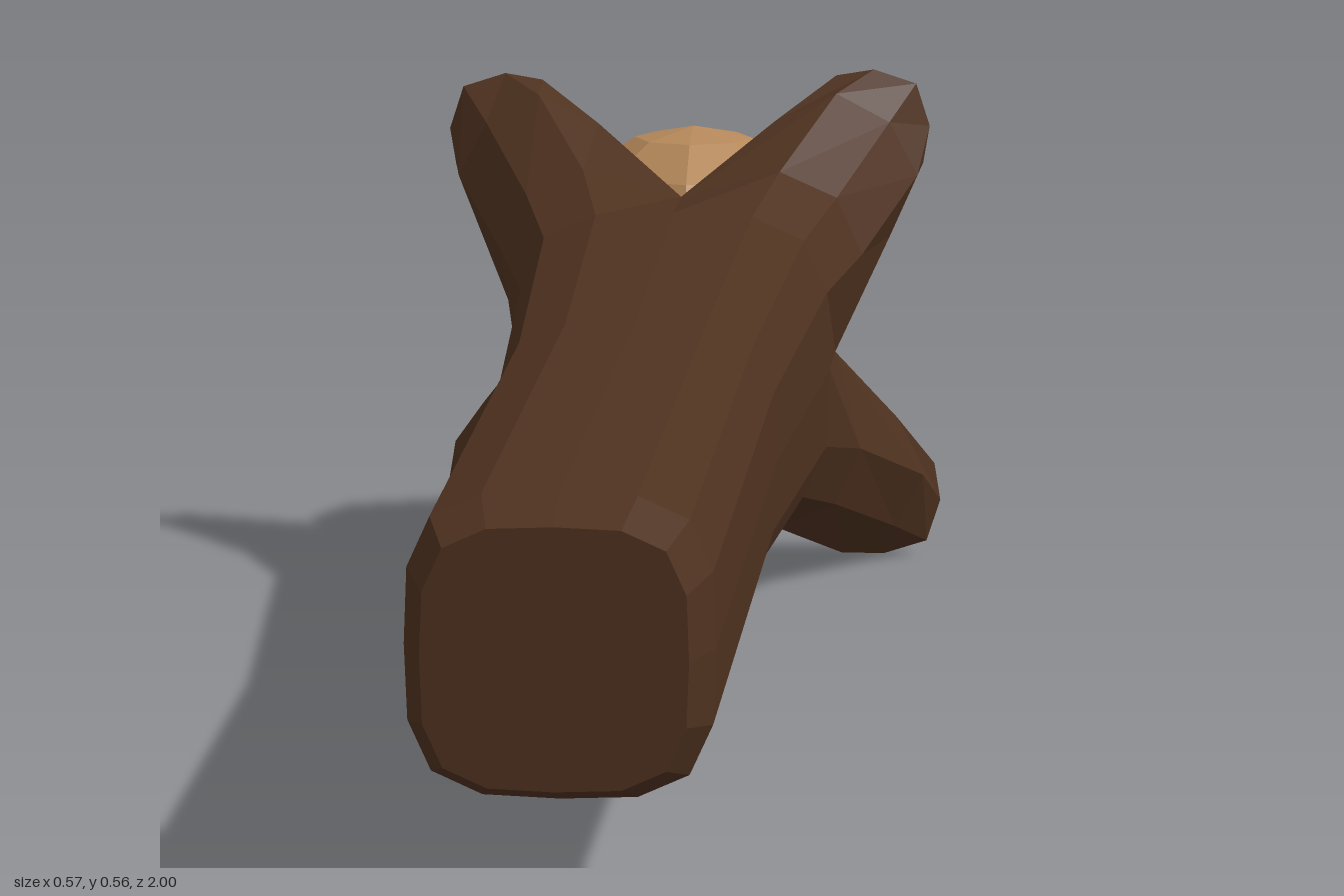
import * as THREE from 'three';

const CY = 0.27; // height of the stem axis
const S = Math.SQRT1_2;

// Point in quadrant k from diagonal distance d, sideways offset t and depth z
function place(k, d, t, z) {
  const x = (d - t) * S, y = (d + t) * S;
  const c = [1, 0, -1, 0][k], s = [0, 1, 0, -1][k];
  return [x * c - y * s, CY + x * s + y * c, z];
}

// Skin over closed loops that run counter-clockwise, stacked towards -z
function loft(loops, capStart, capEnd) {
  const n = loops[0].length, pos = loops.flat(2), index = [];
  for (let i = 0; i < loops.length - 1; i++) {
    for (let j = 0; j < n; j++) {
      const a = i * n + j, b = i * n + (j + 1) % n;
      index.push(a, a + n, b, b, a + n, b + n);
    }
  }
  const cap = (loop, start, flip) => {
    const c = pos.length / 3;
    for (let m = 0; m < 3; m++) pos.push(loop.reduce((sum, p) => sum + p[m], 0) / n);
    for (let j = 0; j < n; j++) {
      const a = start + j, b = start + (j + 1) % n;
      index.push(c, flip ? b : a, flip ? a : b);
    }
  };
  if (capStart) cap(loops[0], 0, false);
  if (capEnd) cap(loops[loops.length - 1], (loops.length - 1) * n, true);
  const g = new THREE.BufferGeometry();
  g.setAttribute('position', new THREE.Float32BufferAttribute(pos, 3));
  g.setIndex(index);
  const flat = g.toNonIndexed();
  flat.computeVertexNormals();
  return flat;
}

// Rounded square section: edge middle, shoulder and corner ridge of one quadrant
const square = (z, h) => ({ z, edge: [h * S, h * S], mid: [1.046 * h, 0.34 * h], ridge: 1.174 * h });
const collar = { z: -0.62, edge: [0.122, 0.122], mid: [0.22, 0.065], ridge: 0.245 };

export function createModel() {
  const group = new THREE.Group();
  const brown = new THREE.MeshStandardMaterial({ color: 0x4f3220, flatShading: true });
  const tan = new THREE.MeshStandardMaterial({ color: 0xb5885a, flatShading: true });
  const add = (geometry, material, name) => {
    const mesh = new THREE.Mesh(geometry, material);
    mesh.name = name;
    group.add(mesh);
    return mesh;
  };

  // Stem with a bevelled foot, widening to the collar
  const rows = [square(1, 0.118), square(0.94, 0.138), square(0.05, 0.143), square(-0.5, 0.172), collar];
  const stemLoops = rows.map(({ z, edge, mid, ridge }) => [0, 1, 2, 3].flatMap((k) => [
    place(k, edge[0], -edge[1], z),
    place(k, mid[0], -mid[1], z),
    place(k, ridge, 0, z),
    place(k, mid[0], mid[1], z),
  ]));
  add(loft(stemLoops, true, false), brown, 'stem');

  // Four spreading prongs: rows of [d, t, z] for edge, shoulder, ridge, inner side, inner middle
  const prongRows = [
    [[0.122, 0.122, -0.62], [0.22, 0.065, -0.62], [0.245, 0, -0.62], [0, 0, -0.67], [0, 0, -0.67]],
    [[0.235, 0.092, -0.74], [0.305, 0.065, -0.75], [0.325, 0, -0.75], [0.21, 0.045, -0.8], [0.2, 0, -0.79]],
    [[0.31, 0.07, -0.8], [0.345, 0.045, -0.8], [0.368, 0, -0.8], [0.325, 0.04, -0.82], [0.32, 0, -0.82]],
  ];
  const prongs = [
    ['upperLeftProng', -0.005, 0.02, 0.01],
    ['upperRightProng', 0, 0.012, 0.01],
    ['lowerRightProng', -0.01, 0.018, -0.06],
    ['lowerLeftProng', 0.01, 0.008, -0.015],
  ];
  prongs.forEach(([name, dx, dy, dz], k) => {
    const loops = prongRows.map(([e, m, r, i, c], row) => {
      const f = [0, 0.6, 1][row]; // small lean that grows towards the tip
      const half = [[e, -1], [m, -1], [r, 1], [m, 1], [e, 1], [i, 1], [c, 1], [i, -1]];
      return half.map(([p, side]) => {
        const [x, y, z] = place(k, p[0], p[1] * side, p[2]);
        return [x + dx * f, y + dy * f, z + dz * f];
      });
    });
    add(loft(loops, false, true), brown, name);
  });

  // Round bud held between the prongs
  const bud = add(new THREE.SphereGeometry(0.175, 8, 8), tan, 'bud');
  bud.position.set(0, 0.32, -0.825);

  return group;
}
